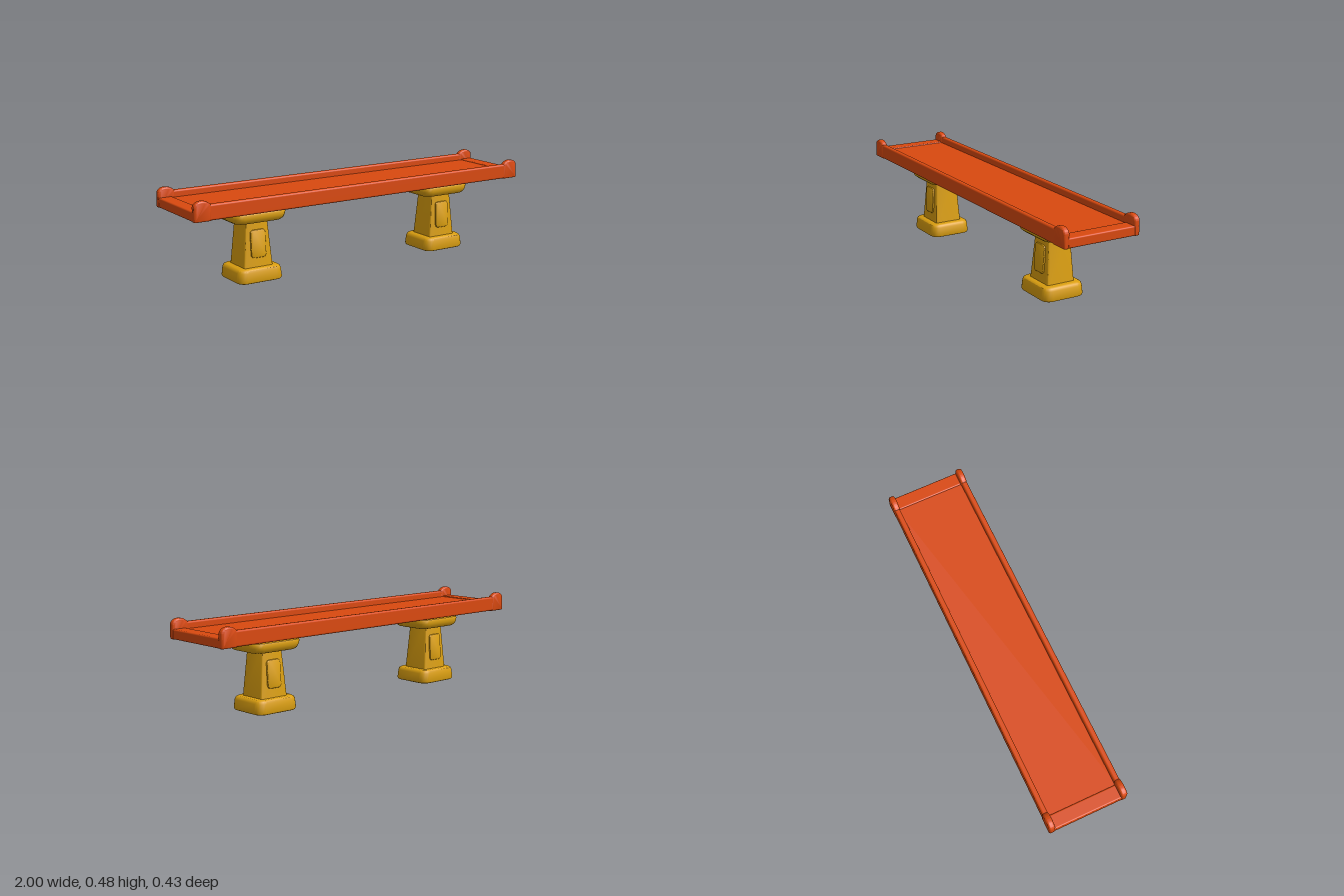
import * as THREE from 'three';
import { toCreasedNormals } from 'three/addons/utils/BufferGeometryUtils.js';
import { RoundedBoxGeometry } from 'three/addons/geometries/RoundedBoxGeometry.js';

const orange = new THREE.MeshStandardMaterial({ name: 'orange', color: 0xd9490f });
const ochre = new THREE.MeshStandardMaterial({ name: 'ochre', color: 0xdb9f10 });

function add(parent, name, geometry, material, x = 0, y = 0, z = 0) {
  const mesh = new THREE.Mesh(geometry, material);
  mesh.name = name;
  mesh.position.set(x, y, z);
  parent.add(mesh);
  return mesh;
}

// Points of a rounded rectangle with half sizes a, b and corner radius r
function roundedRect(a, b, r, steps = 5) {
  const points = [];
  [[1, 1], [-1, 1], [-1, -1], [1, -1]].forEach(([sx, sy], corner) => {
    for (let i = 0; i <= steps; i++) {
      const t = (corner + i / steps) * Math.PI / 2;
      points.push(new THREE.Vector2(sx * (a - r) + r * Math.cos(t), sy * (b - r) + r * Math.sin(t)));
    }
  });
  return points;
}

// Closed solid through stacked rounded rectangles: [y, halfX, halfZ, radius]
function loft(sections) {
  const positions = [], index = [];
  const rings = sections.map(([y, a, b, r]) => roundedRect(a, b, r).map(p => [p.x, y, p.y]));
  const n = rings[0].length;
  rings.forEach(ring => ring.forEach(p => positions.push(...p)));
  for (let k = 0; k < rings.length - 1; k++) {
    for (let i = 0; i < n; i++) {
      const j = (i + 1) % n, lo = k * n, hi = lo + n;
      index.push(lo + i, hi + i, lo + j, lo + j, hi + i, hi + j);
    }
  }
  const top = (rings.length - 1) * n;
  for (let i = 1; i < n - 1; i++) {
    index.push(0, i, i + 1, top, top + i + 1, top + i);
  }
  const geometry = new THREE.BufferGeometry();
  geometry.setAttribute('position', new THREE.Float32BufferAttribute(positions, 3));
  geometry.setIndex(index);
  return toCreasedNormals(geometry, 0.7);
}

// Extrusion centred on z, with a rounded edge that stays inside the outline
function plate(shape, thickness, bevel) {
  const geometry = new THREE.ExtrudeGeometry(shape, {
    depth: thickness - 2 * bevel, bevelThickness: bevel, bevelSize: bevel,
    bevelOffset: -bevel, bevelSegments: 4, curveSegments: 10,
  });
  geometry.translate(0, 0, bevel - thickness / 2);
  return toCreasedNormals(geometry, 0.7);
}

function createSupport() {
  const support = new THREE.Group();
  add(support, 'foot', loft([
    [0, 0.117, 0.108, 0.035], [0.003, 0.124, 0.114, 0.04], [0.012, 0.128, 0.117, 0.042],
    [0.055, 0.124, 0.114, 0.042], [0.067, 0.119, 0.11, 0.04], [0.073, 0.109, 0.1, 0.035],
  ]), ochre);
  add(support, 'shaft', loft([
    [0.06, 0.083, 0.079, 0.01], [0.315, 0.062, 0.063, 0.01],
  ]), ochre);
  add(support, 'cap', loft([
    [0.305, 0.115, 0.092, 0.04], [0.309, 0.131, 0.108, 0.046], [0.318, 0.143, 0.118, 0.05],
    [0.335, 0.15, 0.124, 0.052], [0.352, 0.152, 0.126, 0.052], [0.359, 0.149, 0.123, 0.05],
    [0.362, 0.142, 0.116, 0.047],
  ]), ochre);
  add(support, 'neck', loft([
    [0.355, 0.07, 0.044, 0.012], [0.39, 0.07, 0.044, 0.012],
  ]), orange);

  // Raised panels on the front and back of the shaft
  const panel = plate(new THREE.Shape(roundedRect(0.043, 0.072, 0.018)), 0.018, 0.005);
  for (const turn of [0, Math.PI]) {
    const side = new THREE.Group();
    side.name = turn ? 'backPanel' : 'frontPanel';
    side.rotation.y = turn;
    add(side, 'panel', panel, ochre, 0, 0.192, 0.07).rotation.x = -0.065;
    support.add(side);
  }
  return support;
}

// Rail end with a rounded knob on top; its outer face is at x = 1
function endProfile() {
  const shape = new THREE.Shape();
  shape.moveTo(0.91, 0.378);
  shape.lineTo(0.992, 0.378);
  shape.quadraticCurveTo(1, 0.378, 1, 0.386);
  shape.lineTo(1, 0.45);
  shape.bezierCurveTo(1, 0.466, 0.982, 0.48, 0.958, 0.48);
  shape.bezierCurveTo(0.936, 0.48, 0.922, 0.472, 0.91, 0.459);
  shape.closePath();
  return shape;
}

export function createModel() {
  const bridge = new THREE.Group();
  bridge.name = 'bridge';

  // Deck slab and the slightly raised lip across each end
  add(bridge, 'deck', new THREE.BoxGeometry(1.9, 0.043, 0.39), orange, 0, 0.4025, 0);
  const lip = new RoundedBoxGeometry(0.075, 0.05, 0.4, 4, 0.008);
  for (const s of [-1, 1]) add(bridge, 'endLip', lip, orange, s * 0.9605, 0.404, 0);

  // Side rails with knobbed ends
  const rail = new RoundedBoxGeometry(1.92, 0.079, 0.029, 4, 0.01);
  const railEnd = plate(endProfile(), 0.033, 0.01);
  for (const side of [-1, 1]) {
    add(bridge, 'sideRail', rail, orange, 0, 0.4195, side * 0.197);
    for (const turn of [0, Math.PI]) {
      add(bridge, 'railEnd', railEnd, orange, 0, 0, side * 0.197).rotation.y = turn;
    }
  }

  // Two supports
  for (const s of [-1, 1]) {
    const support = createSupport();
    support.name = s > 0 ? 'leftSupport' : 'rightSupport';
    support.position.x = s * 0.583;
    bridge.add(support);
  }
  return bridge;
}
